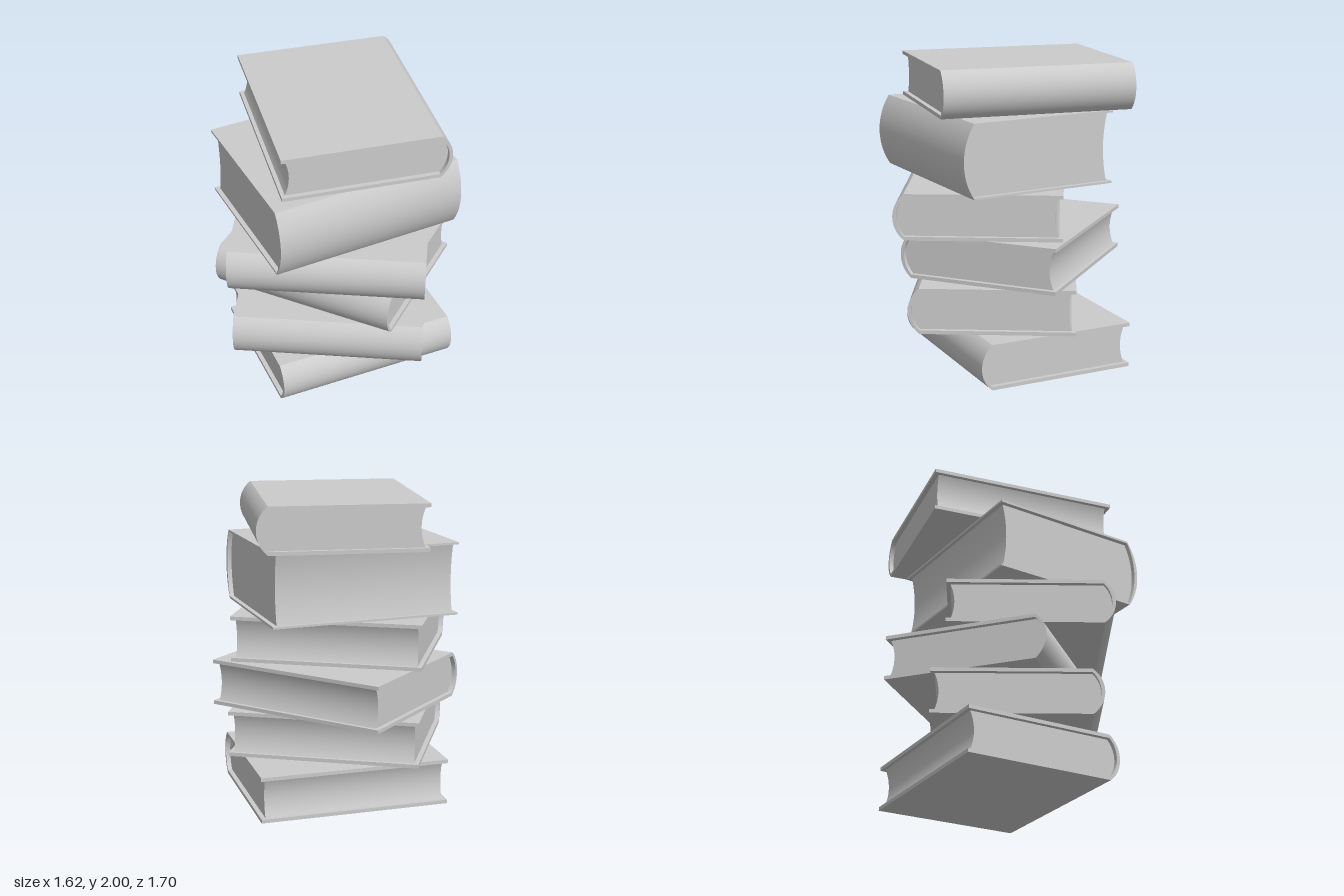
import * as THREE from 'three';
import { toCreasedNormals } from 'three/addons/utils/BufferGeometryUtils.js';

const LENGTH = 1.245, DEPTH = 1.064;
const SPINE_BULGE = 0.073, PAGE_BULGE = 0.05;
const material = new THREE.MeshStandardMaterial({ color: 0xcccccc });

// Points of a circular arc from (x, y0) to (x, y1), swelling by `bulge` in +x at the middle
function arc(x, y0, y1, bulge, segments = 24) {
  const half = (y1 - y0) / 2;
  const radius = (half * half + bulge * bulge) / (2 * bulge);
  const sweep = Math.asin(half / radius);
  const points = [];
  for (let i = 0; i <= segments; i++) {
    const a = sweep * (2 * i / segments - 1);
    points.push(new THREE.Vector2(
      x + bulge - radius + radius * Math.cos(a),
      (y0 + y1) / 2 + radius * Math.sin(a)));
  }
  return points;
}

// Extrudes a (z, y) profile along x, centred, smooth on the curves and sharp at the corners
function profileMesh(name, points, length) {
  const geometry = new THREE.ExtrudeGeometry(new THREE.Shape(points), { depth: length, bevelEnabled: false });
  geometry.translate(0, 0, -length / 2).rotateY(-Math.PI / 2);
  const mesh = new THREE.Mesh(toCreasedNormals(geometry, 0.4), material);
  mesh.name = name;
  return mesh;
}

// A hardback book with its spine toward +z and its underside on y = 0
function makeBook(height, board) {
  const book = new THREE.Group();
  const fore = -DEPTH / 2, hinge = DEPTH / 2 - SPINE_BULGE;
  const low = board, high = height - board;

  // Boards and rounded spine as one C-shaped section
  const cover = [
    new THREE.Vector2(fore, 0),
    ...arc(hinge, 0, height, SPINE_BULGE),
    new THREE.Vector2(fore, height),
    new THREE.Vector2(fore, high),
    ...arc(hinge, low, high, PAGE_BULGE).reverse(),
    new THREE.Vector2(fore, low),
  ];
  book.add(profileMesh('cover', cover, LENGTH));

  // Page block: rounded at the spine, hollow at the fore edge, set in at both ends
  const pages = [
    ...arc(hinge, low, high, PAGE_BULGE),
    ...arc(fore + 0.025, low, high, 0.027).reverse(),
  ];
  book.add(profileMesh('pages', pages, LENGTH - 0.06));
  return book;
}

export function createModel() {
  const stack = new THREE.Group();
  stack.name = 'bookStack';
  // x, base y, z, turn in degrees, thickness, board thickness
  const books = [
    [0.007, 0, -0.078, 28.5, 0.3, 0.024],
    [-0.012, 0.309, 0.043, 0, 0.3, 0.024],
    [-0.022, 0.617, -0.072, -20, 0.3, 0.024],
    [-0.012, 0.923, 0.129, 0, 0.298, 0.024],
    [-0.005, 1.223, 0.07, 31.6, 0.472, 0.014],
    [0.023, 1.702, -0.082, 110, 0.298, 0.024],
  ];
  books.forEach(([x, y, z, turn, height, board], i) => {
    const book = makeBook(height, board);
    book.name = `book${i + 1}`;
    book.position.set(x, y, z);
    book.rotation.y = THREE.MathUtils.degToRad(turn);
    stack.add(book);
  });
  return stack;
}
